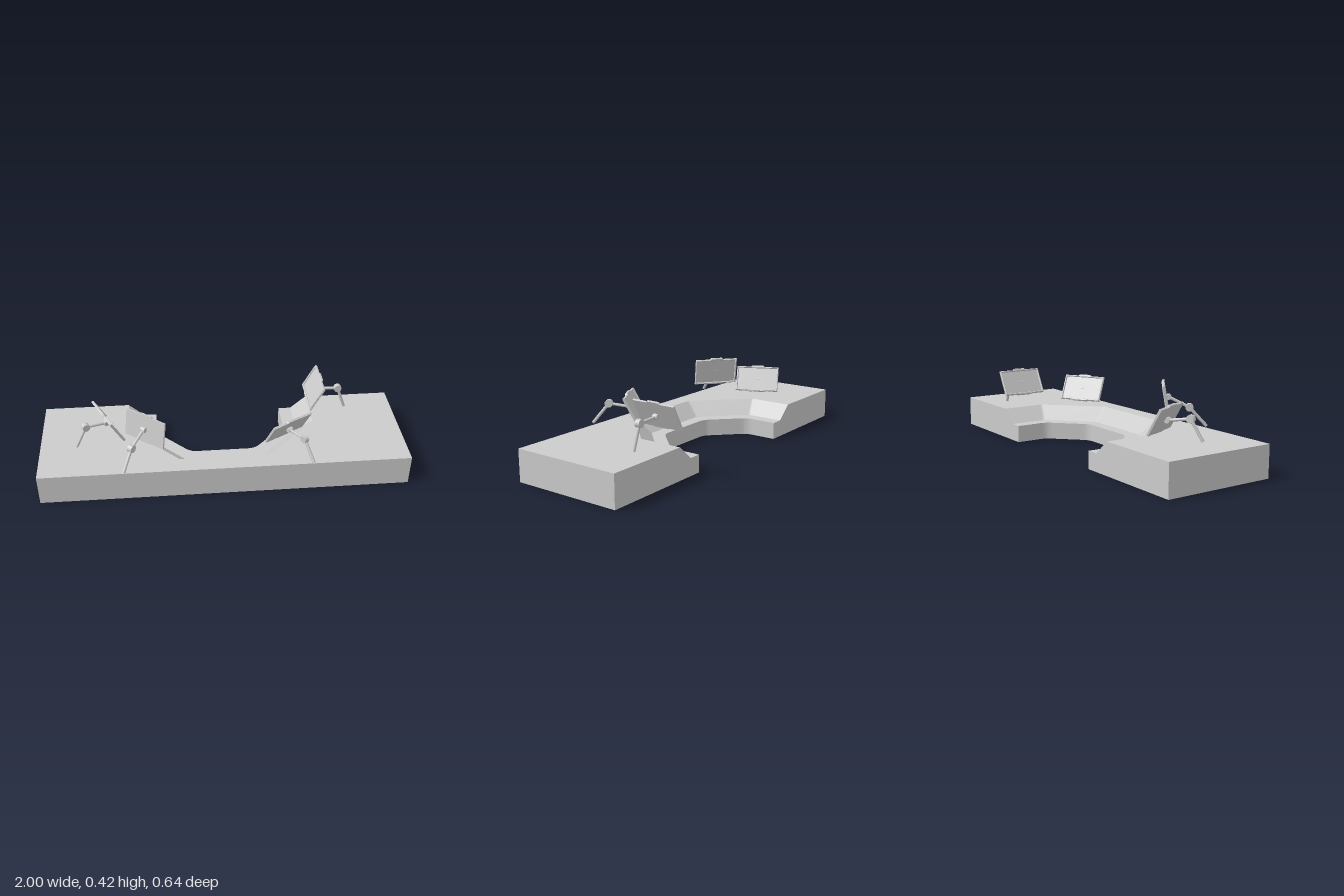
import * as THREE from 'three';

const grey = new THREE.MeshStandardMaterial({ color: 0xcccccc, flatShading: true });
const smooth = new THREE.MeshStandardMaterial({ color: 0xcccccc });
const V = (x, y, z) => new THREE.Vector3(x, y, z);

function add(parent, name, geometry, material = grey) {
  const mesh = new THREE.Mesh(geometry, material);
  mesh.name = name;
  parent.add(mesh);
  return mesh;
}

// U-shaped plan (x, -z), anticlockwise, the cut-out pushed outwards by d, corners rounded by r
function uPlan(d, r) {
  const k = Math.tan(Math.PI / 8) * d;
  const a = 0.365 + d, b = 0.18 + k, s1 = 0.135 - k, s2 = -0.05 - d, back = 0.315;
  const path = [[a, back], [a, s1], [b, s2], [-b, s2], [-a, s1], [-a, back]]
    .map(p => new THREE.Vector2(...p));
  const pts = [new THREE.Vector2(-1, -0.302), new THREE.Vector2(1, -0.302), new THREE.Vector2(1, back), path[0]];
  for (let i = 1; i < 5; i++) {
    const toward = q => path[i].clone().add(q.clone().sub(path[i]).setLength(r));
    pts.push(...new THREE.QuadraticBezierCurve(toward(path[i - 1]), path[i], toward(path[i + 1])).getPoints(4));
  }
  pts.push(path[5], new THREE.Vector2(-1, back));
  return pts;
}

// Console body: wall, ledge, slope and top joined from stacked plans
function deskGeometry() {
  const rings = [[0, 0.035, 0], [0, 0.035, 0.095], [0.07, 0.008, 0.095], [0.157, 0.008, 0.172]]
    .map(([d, r, y]) => uPlan(d, r).map(p => V(p.x, y, -p.y)));
  const n = rings[0].length, out = [];
  const tri = (...ps) => ps.forEach(p => out.push(p.x, p.y, p.z));
  for (let k = 0; k < rings.length - 1; k++) {
    const lo = rings[k], hi = rings[k + 1];
    for (let i = 0; i < n; i++) {
      const j = (i + 1) % n;
      if (k === 1 && lo[i].equals(hi[i]) && lo[j].equals(hi[j])) continue;
      tri(lo[i], lo[j], hi[j]);
      tri(lo[i], hi[j], hi[i]);
    }
  }
  const cap = (ring, up) => {
    const flat = ring.map(p => new THREE.Vector2(p.x, -p.z));
    for (const [a, b, c] of THREE.ShapeUtils.triangulateShape(flat, []))
      up ? tri(ring[a], ring[b], ring[c]) : tri(ring[a], ring[c], ring[b]);
  };
  cap(rings[0], false);
  cap(rings[3], true);
  const g = new THREE.BufferGeometry();
  g.setAttribute('position', new THREE.Float32BufferAttribute(out, 3));
  g.computeVertexNormals();
  return g;
}

// Screen outline with a raised tab above and a shallow one below
function outline() {
  const w = 0.127, h = 0.076;
  return new THREE.Shape([
    [-w, -h], [-0.05, -h], [-0.044, -h - 0.004], [0.044, -h - 0.004], [0.05, -h], [w, -h],
    [w, h], [0.042, h], [0.034, h + 0.008], [-0.034, h + 0.008], [-0.042, h], [-w, h],
  ].map(p => new THREE.Vector2(...p)));
}

function rod(parent, name, from, to, radius) {
  const dir = to.clone().sub(from);
  const mesh = add(parent, name, new THREE.CylinderGeometry(radius, radius, dir.length(), 12), smooth);
  mesh.position.copy(from).addScaledVector(dir, 0.5);
  mesh.quaternion.setFromUnitVectors(V(0, 1, 0), dir.normalize());
}

// Short hinge barrel lying across the arm
function hinge(parent, name, at, across, radius) {
  const mesh = add(parent, name, new THREE.CylinderGeometry(radius, radius, 0.027, 20), smooth);
  mesh.position.copy(at);
  mesh.quaternion.setFromUnitVectors(V(0, 1, 0), across);
}

// facing: plan direction of the screen; tilt: upward lean in degrees
function monitor({ centre, facing, tilt, joint, foot }) {
  const group = new THREE.Group();
  group.name = 'monitor';
  const t = THREE.MathUtils.degToRad(tilt);
  const flat = V(facing[0], 0, facing[1]).normalize();
  const normal = flat.clone().multiplyScalar(Math.cos(t)).setY(Math.sin(t));
  const across = V(flat.z, 0, -flat.x);
  const c = V(...centre), j = V(...joint), f = V(...foot);

  const panel = new THREE.Group();
  panel.name = 'screenPanel';
  panel.position.copy(c);
  panel.lookAt(c.clone().add(normal));
  group.add(panel);

  const plate = add(panel, 'backPlate', new THREE.ExtrudeGeometry(outline(), { depth: 0.005, bevelEnabled: false }));
  plate.position.z = -0.007;
  const rim = outline();
  const x = 0.117, y = 0.067;
  rim.holes.push(new THREE.Path([[-x, -y], [-x, y], [x, y], [x, -y]].map(p => new THREE.Vector2(...p))));
  const bezel = add(panel, 'bezel', new THREE.ExtrudeGeometry(rim, {
    depth: 0.004, bevelThickness: 0.004, bevelSize: 0.003, bevelOffset: -0.003, bevelSegments: 1,
  }));
  bezel.position.z = -0.001;

  // Arm, hinges and slanted post
  const mount = c.clone().addScaledVector(normal, -0.016);
  hinge(group, 'panelHinge', mount, across, 0.015);
  rod(group, 'arm', mount, j, 0.008);
  hinge(group, 'elbowHinge', j, across, 0.021);
  rod(group, 'post', j, f, 0.0085);
  return group;
}

export function createModel() {
  const model = new THREE.Group();
  model.name = 'controlDesk';
  add(model, 'desk', deskGeometry());
  [
    { centre: [-0.625, 0.272, -0.037], facing: [0.9, -0.43], tilt: 28, joint: [-0.745, 0.282, 0.025], foot: [-0.803, 0.174, 0.055] },
    { centre: [-0.42, 0.332, 0.129], facing: [0.62, -0.78], tilt: -10, joint: [-0.497, 0.28, 0.228], foot: [-0.545, 0.18, 0.306] },
    { centre: [0.35, 0.28, 0.115], facing: [-0.5, -0.866], tilt: 28, joint: [0.42, 0.289, 0.236], foot: [0.466, 0.181, 0.31] },
    { centre: [0.538, 0.32, -0.192], facing: [-1, 0], tilt: 28, joint: [0.68, 0.308, -0.194], foot: [0.727, 0.18, -0.195] },
  ].forEach(m => model.add(monitor(m)));
  return model;
}
